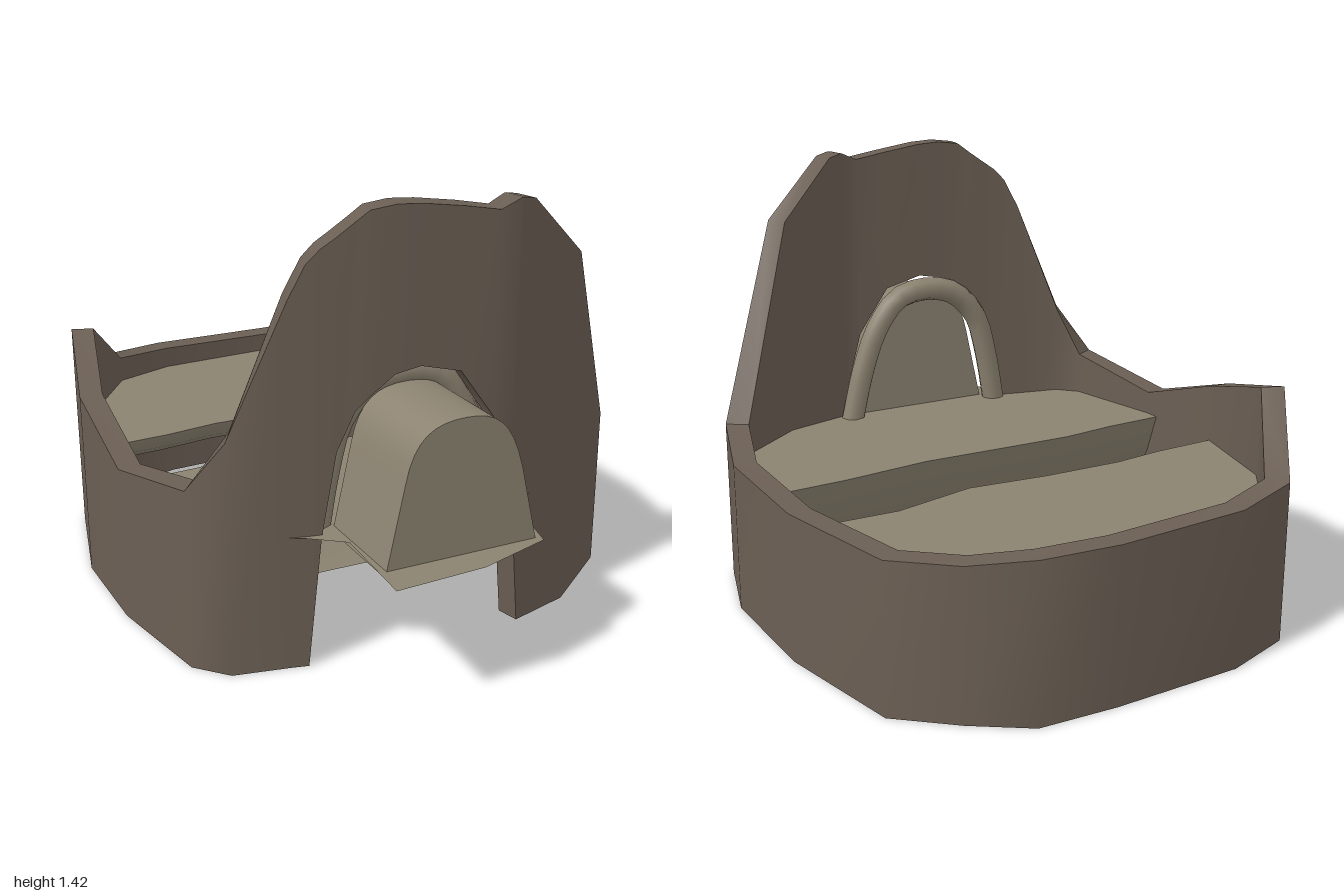
import * as THREE from 'three';
import { toCreasedNormals } from 'three/addons/utils/BufferGeometryUtils.js';

const darkStone = new THREE.MeshStandardMaterial({ color: 0x6b5f54 });
const paleStone = new THREE.MeshStandardMaterial({ color: 0x8c8371 });
const paleSheet = new THREE.MeshStandardMaterial({ color: 0x8c8371, side: THREE.DoubleSide });

const FLOOR_Y = 0.44;
const WALL = 0.075;

function addMesh(group, name, geometry, material) {
  const mesh = new THREE.Mesh(geometry, material);
  mesh.name = name;
  group.add(mesh);
}

// Skin a grid of points: rows of equal length, optionally closed both ways
function skin(rows, closed, crease) {
  const pos = [];
  const n = rows.length, m = rows[0].length;
  for (let i = 0; i < (closed ? n : n - 1); i++) {
    for (let j = 0; j < (closed ? m : m - 1); j++) {
      const a = rows[i][j], b = rows[(i + 1) % n][j];
      const c = rows[(i + 1) % n][(j + 1) % m], d = rows[i][(j + 1) % m];
      pos.push(...a, ...b, ...c, ...a, ...c, ...d);
    }
  }
  const g = new THREE.BufferGeometry();
  g.setAttribute('position', new THREE.Float32BufferAttribute(pos, 3));
  return toCreasedNormals(g, crease);
}

// Wall columns: outer x, outer z, top height, bottom height (doorway arch)
const columns = [
  [-0.83, 0.06, 0.52, 0], [-0.76, 0.44, 0.59, 0], [-0.67, 0.54, 0.76, 0],
  [-0.49, 0.585, 1.17, 0], [-0.44, 0.60, 1.27, 0], [-0.40, 0.61, 1.31, 0.43],
  [-0.355, 0.62, 1.34, 0.70], [-0.30, 0.63, 1.38, 0.82], [-0.26, 0.64, 1.41, 0.86],
  [-0.18, 0.65, 1.42, 0.92], [-0.10, 0.66, 1.415, 0.935], [0.03, 0.67, 1.395, 0.90],
  [0.14, 0.685, 1.375, 0.74], [0.21, 0.682, 1.40, 0.55], [0.225, 0.678, 1.40, 0.44],
  [0.27, 0.667, 1.39, 0], [0.48, 0.62, 1.19, 0], [0.74, 0.44, 0.545, 0],
  [0.825, 0.16, 0.50, 0], [0.825, -0.27, 0.485, 0], [0.74, -0.71, 0.485, 0],
  [0.57, -0.86, 0.485, 0], [0.40, -0.98, 0.51, 0], [0.14, -1.0, 0.505, 0],
  [-0.30, -1.0, 0.515, 0], [-0.54, -0.93, 0.53, 0], [-0.73, -0.68, 0.74, 0],
  [-0.83, -0.30, 0.635, 0],
];

// Each column becomes a four-corner cross-section, mitred inwards
function wallGeometry() {
  const n = columns.length;
  const normal = (p, q) => new THREE.Vector2(p[1] - q[1], q[0] - p[0]).normalize();
  const rows = columns.map((c, i) => {
    const n1 = normal(columns[(i + n - 1) % n], c);
    const n2 = normal(c, columns[(i + 1) % n]);
    const mid = n1.clone().add(n2).normalize();
    mid.multiplyScalar(WALL / mid.dot(n1));
    const [x, z, top, bottom] = c;
    const ix = x - mid.x, iz = z - mid.y;
    return [[x, bottom, z], [x, top, z], [ix, top, iz], [ix, bottom, iz]];
  });
  return skin(rows, true, 0.75);
}

// Flat floor sheet from plan points (x, z)
function sheet(points) {
  const shape = new THREE.Shape(points.map(([x, z]) => new THREE.Vector2(x, z)));
  return new THREE.ShapeGeometry(shape).rotateX(Math.PI / 2).translate(0, FLOOR_Y, 0);
}

// Strip hanging from a floor edge: profile of [z offset, y]
function apron(edge, profile) {
  return skin(edge.map(([x, z]) => profile.map(([dz, y]) => [x, y, z + dz])), false, 0.8);
}

export function createModel() {
  const group = new THREE.Group();
  addMesh(group, 'ruinedWall', wallGeometry(), darkStone);

  // Front floor with its porch, and the curved slope under its broken edge
  const frontEdge = [[-0.77, 0], [-0.55, 0], [-0.35, -0.015], [-0.1, 0], [0.2, 0.02], [0.5, 0], [0.76, 0]];
  addMesh(group, 'frontFloor', sheet([...frontEdge,
    [0.7, 0.42], [0.47, 0.6], [0.22, 0.69], [0.16, 0.94], [-0.08, 1], [-0.37, 1],
    [-0.35, 0.69], [-0.45, 0.61], [-0.65, 0.5], [-0.73, 0.41]]), paleSheet);
  addMesh(group, 'frontFloorSlope',
    apron(frontEdge, [[0, FLOOR_Y], [0.05, 0.29], [0.13, 0.17], [0.25, 0.09]]), paleSheet);

  // Back floor with a short lip
  const backEdge = [[-0.78, -0.3], [-0.53, -0.3], [-0.35, -0.315], [-0.07, -0.3], [0.2, -0.265], [0.48, -0.32], [0.77, -0.3]];
  addMesh(group, 'backFloor', sheet([...backEdge,
    [0.7, -0.68], [0.54, -0.83], [0.38, -0.95], [-0.29, -0.96], [-0.52, -0.89], [-0.7, -0.65]]), paleSheet);
  addMesh(group, 'backFloorLip',
    apron(backEdge, [[0, FLOOR_Y], [-0.02, 0.39], [-0.06, 0.36]]), paleSheet);

  // Arched block standing in the doorway
  const arch = new THREE.Shape();
  arch.moveTo(-0.345, 0.42);
  arch.lineTo(0.15, 0.42);
  arch.lineTo(0.09, 0.68);
  arch.bezierCurveTo(0.05, 0.83, 0.0, 0.865, -0.1, 0.865);
  arch.bezierCurveTo(-0.2, 0.865, -0.26, 0.83, -0.285, 0.7);
  arch.closePath();
  const block = new THREE.ExtrudeGeometry(arch, { depth: 0.32, bevelEnabled: false, curveSegments: 8 });
  block.translate(0, 0, 0.585);
  const p = block.attributes.position;
  for (let i = 0; i < p.count; i++) p.setZ(i, p.getZ(i) + 0.05 * (p.getX(i) + 0.1));
  addMesh(group, 'doorwayBlock', toCreasedNormals(block, 0.7), paleStone);

  // Rounded trim around the doorway on the inner face of the wall
  const trim = new THREE.CatmullRomCurve3([
    [-0.38, 0.42], [-0.345, 0.62], [-0.3, 0.77], [-0.21, 0.865], [-0.1, 0.89],
    [0.01, 0.865], [0.09, 0.77], [0.15, 0.62], [0.2, 0.42],
  ].map(([x, y]) => new THREE.Vector3(x, y, 0.563 + 0.075 * x)));
  addMesh(group, 'doorwayTrim', new THREE.TubeGeometry(trim, 24, 0.042, 8), paleStone);

  return group;
}
